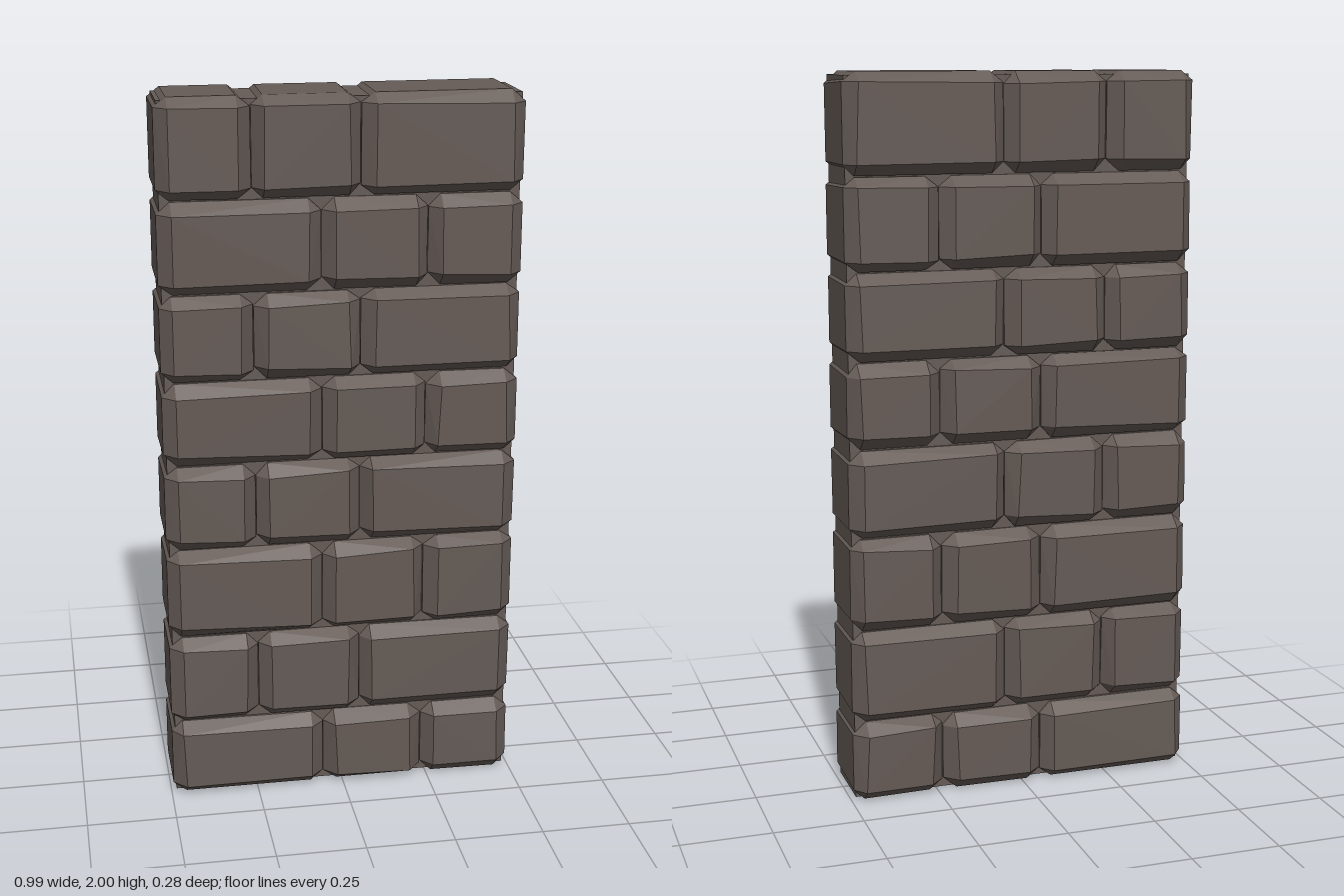
import * as THREE from 'three';
import { ConvexGeometry } from 'three/addons/geometries/ConvexGeometry.js';

export function createModel() {
  const wall = new THREE.Group();
  wall.name = 'brickWall';
  const stone = new THREE.MeshStandardMaterial({ color: 0x655b56 });
  stone.name = 'brown grey stone';

  // Small seeded jitter for hand-cut stones
  let seed = 11;
  const jitter = (amount) => {
    seed = (seed * 16807) % 2147483647;
    return (seed / 2147483647 - 0.5) * 2 * amount;
  };

  // Stone block with chamfered edges: three corner points at each of eight corners
  function brick(x0, x1, y0, y1) {
    const half = [(x1 - x0) / 2, (y1 - y0) / 2, 0.138];
    const points = [];
    for (const sx of [-1, 1]) for (const sy of [-1, 1]) for (const sz of [-1, 1]) {
      const sign = [sx, sy, sz];
      // Chamfer is wider front to back than along the course
      const cut = [0.034 + jitter(0.005), 0.03 + jitter(0.006), 0.038 + jitter(0.004)];
      for (let axis = 0; axis < 3; axis++) {
        const p = half.map((h, i) => sign[i] * (h - (i === axis ? 0 : cut[i])));
        p[2] += axis === 2 ? jitter(0.002) : 0;
        points.push(new THREE.Vector3(...p));
      }
    }
    const mesh = new THREE.Mesh(new ConvexGeometry(points), stone);
    mesh.position.set((x0 + x1) / 2, (y0 + y1) / 2, 0);
    return mesh;
  }

  // Courses from the ground up, with two alternating joint patterns
  const levels = [0, 0.226, 0.487, 0.75, 0.996, 1.235, 1.476, 1.729, 2];
  const joints = [
    [-0.495, -0.056, 0.233, 0.493],
    [-0.495, -0.242, 0.05, 0.493],
  ];
  for (let row = 0; row < levels.length - 1; row++) {
    const course = new THREE.Group();
    course.name = 'course' + (row + 1);
    const xs = joints[row % 2];
    for (let i = 0; i < 3; i++) {
      const block = brick(xs[i] + 0.001, xs[i + 1] - 0.001, levels[row] + (row ? 0.002 : 0), levels[row + 1] - (row < 7 ? 0.002 : 0));
      block.name = 'brick';
      course.add(block);
    }
    wall.add(course);
  }

  // Mortar core behind the joints
  const core = new THREE.Mesh(new THREE.BoxGeometry(0.97, 1.985, 0.19), stone);
  core.name = 'mortarCore';
  core.position.y = 0.9975;
  wall.add(core);

  return wall;
}
